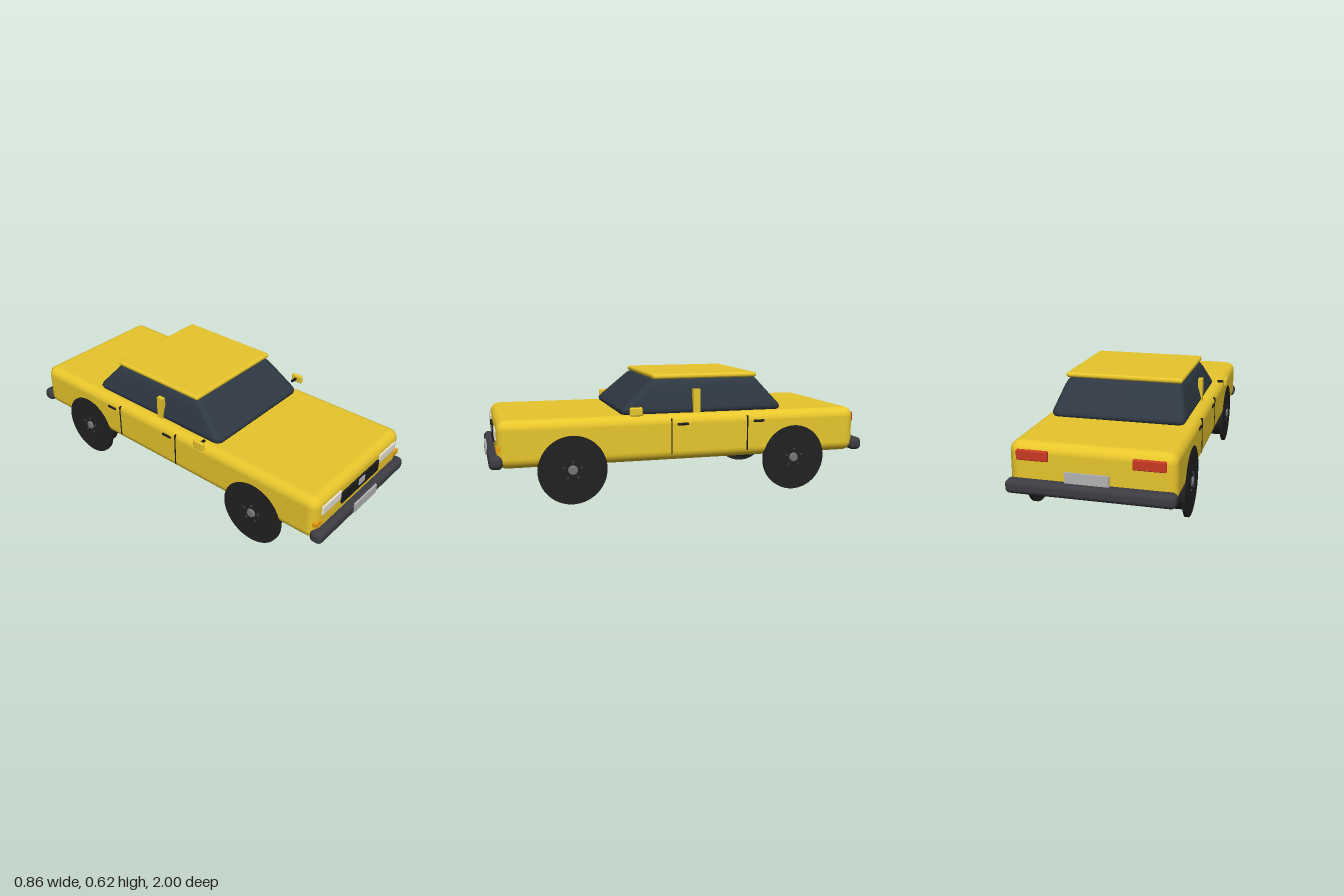
import * as THREE from 'three';
import { RoundedBoxGeometry } from 'three/addons/geometries/RoundedBoxGeometry.js';

const mat = (color) => new THREE.MeshStandardMaterial({ color });
const M = {
  paint: mat(0xe8c62c), glass: mat(0x2e3842), bumper: mat(0x3c3c42), rubber: mat(0x222222),
  black: mat(0x1c1c1c), metal: mat(0x777777), plate: mat(0xb4b4b4), lamp: mat(0xe6e2d4),
  amber: mat(0xf0a010), red: mat(0xcc3a24),
};

// Box from its min/max extents; r > 0 rounds the edges
function block(parent, name, material, [x0, x1], [y0, y1], [z0, z1], r = 0) {
  const s = [x1 - x0, y1 - y0, z1 - z0];
  const geo = r ? new RoundedBoxGeometry(...s, 4, r) : new THREE.BoxGeometry(...s);
  const mesh = new THREE.Mesh(geo, material);
  mesh.name = name;
  mesh.position.set((x0 + x1) / 2, (y0 + y1) / 2, (z0 + z1) / 2);
  parent.add(mesh);
  return mesh;
}

// The same box on both sides of the car
function pair(parent, name, material, [x0, x1], y, z, r) {
  block(parent, name + 'Left', material, [x0, x1], y, z, r);
  block(parent, name + 'Right', material, [-x1, -x0], y, z, r);
}

// Loft of rounded rectangles, each section: [y, halfWidth, frontZ, backZ, cornerRadius]
function cabinGeometry(sections) {
  const pos = [], index = [], seg = 6, n = 4 * (seg + 1);
  for (const [y, w, zf, zb, r] of sections) {
    const cz = (zf + zb) / 2, d = (zf - zb) / 2;
    for (let c = 0; c < 4; c++) {
      const sx = c === 0 || c === 3 ? 1 : -1, sz = c < 2 ? -1 : 1;
      for (let k = 0; k <= seg; k++) {
        const a = (c + k / seg) * Math.PI / 2;
        pos.push(sx * (w - r) + r * Math.cos(a), y, cz + sz * (d - r) - r * Math.sin(a));
      }
    }
  }
  for (let s = 0; s < sections.length - 1; s++) {
    for (let i = 0; i < n; i++) {
      const a = s * n + i, b = s * n + (i + 1) % n;
      index.push(a, b, b + n, a, b + n, a + n);
    }
  }
  const top = (sections.length - 1) * n;
  for (let i = 1; i < n - 1; i++) index.push(top, top + i, top + i + 1);
  const geo = new THREE.BufferGeometry();
  geo.setAttribute('position', new THREE.Float32BufferAttribute(pos, 3));
  geo.setIndex(index);
  geo.computeVertexNormals();
  return geo;
}

// Wheel whose outer face points to local +x
function makeWheel() {
  const wheel = new THREE.Group();
  const add = (name, geo, material, x, y = 0, z = 0) => {
    const m = new THREE.Mesh(geo, material);
    m.name = name;
    m.rotation.z = -Math.PI / 2;
    m.position.set(x, y, z);
    wheel.add(m);
  };
  // tyre profile with rounded shoulders
  const R = 0.138, r = 0.022, h = 0.045, pts = [new THREE.Vector2(0, -h)];
  for (const s of [-1, 1]) {
    for (let k = 0; k <= 5; k++) {
      const a = s * (s < 0 ? 1 - k / 5 : k / 5) * Math.PI / 2;
      pts.push(new THREE.Vector2(R - r + r * Math.cos(a), s * (h - r) + r * Math.sin(a)));
    }
  }
  pts.push(new THREE.Vector2(0, h));
  add('tyre', new THREE.LatheGeometry(pts, 48), M.rubber, 0.335);
  add('wheelDisc', new THREE.CylinderGeometry(0.172, 0.172, 0.016, 64), M.rubber, 0.383);
  add('hubCap', new THREE.CylinderGeometry(0.02, 0.025, 0.01, 24), M.metal, 0.395);
  for (let i = 0; i < 5; i++) {
    const a = Math.PI / 2 + i * Math.PI * 2 / 5;
    add('wheelBolt', new THREE.CylinderGeometry(0.006, 0.006, 0.008, 10), M.bumper,
      0.393, 0.045 * Math.sin(a), 0.045 * Math.cos(a));
  }
  return wheel;
}

export function createModel() {
  const car = new THREE.Group();
  car.name = 'sedan';

  // Body, glasshouse and roof
  block(car, 'body', M.paint, [-0.39, 0.39], [0.19, 0.427], [-0.945, 0.953], 0.05);
  const cabin = new THREE.Mesh(cabinGeometry([
    [0.415, 0.32, 0.315, -0.515, 0.03],
    [0.428, 0.333, 0.332, -0.53, 0.035],
    [0.442, 0.34, 0.336, -0.535, 0.04],
    [0.456, 0.337, 0.328, -0.528, 0.04],
    [0.56, 0.306, 0.21, -0.437, 0.04],
    [0.582, 0.296, 0.186, -0.419, 0.04],
    [0.594, 0.284, 0.172, -0.408, 0.035],
    [0.602, 0.265, 0.155, -0.39, 0.03],
  ]), M.glass);
  cabin.name = 'glasshouse';
  car.add(cabin);
  block(car, 'roof', M.paint, [-0.3, 0.3], [0.598, 0.624], [-0.405, 0.163], 0.012);
  pair(car, 'doorPillar', M.paint, [0.322, 0.345], [0.42, 0.548], [-0.078, -0.04]);

  // Mirrors
  pair(car, 'mirrorArm', M.black, [0.375, 0.415], [0.448, 0.459], [0.27, 0.281]);
  pair(car, 'mirrorHead', M.paint, [0.411, 0.432], [0.432, 0.476], [0.247, 0.312], 0.008);

  // Door seams and handles
  for (const z of [0.087, -0.322]) {
    pair(car, 'doorSeam', M.black, [0.38, 0.3925], [0.225, 0.407], [z - 0.003, z + 0.003]);
  }
  for (const z of [0.028, -0.386]) {
    pair(car, 'doorHandle', M.black, [0.385, 0.397], [0.371, 0.384], [z - 0.03, z + 0.03], 0.005);
  }

  // Bumpers and plain plates
  block(car, 'frontBumper', M.bumper, [-0.395, 0.395], [0.192, 0.259], [0.925, 0.993], 0.025);
  block(car, 'rearBumper', M.bumper, [-0.395, 0.395], [0.192, 0.259], [-0.993, -0.925], 0.025);
  block(car, 'frontPlate', M.plate, [-0.102, 0.102], [0.213, 0.263], [0.99, 1.0]);
  block(car, 'rearPlate', M.plate, [-0.102, 0.102], [0.275, 0.325], [-1.0, -0.99]);

  // Grille and lamps
  block(car, 'grille', M.black, [-0.171, 0.171], [0.291, 0.358], [0.94, 0.962], 0.004);
  block(car, 'grilleCentre', M.plate, [-0.026, 0.026], [0.317, 0.352], [0.955, 0.966]);
  pair(car, 'headlight', M.lamp, [0.176, 0.34], [0.324, 0.379], [0.935, 0.96], 0.008);
  pair(car, 'turnSignal', M.amber, [0.34, 0.383], [0.277, 0.303], [0.935, 0.957]);
  pair(car, 'tailLight', M.red, [0.195, 0.345], [0.347, 0.395], [-0.957, -0.935], 0.005);

  // Wheels
  for (const [end, z] of [['front', 0.592], ['rear', -0.587]]) {
    for (const [side, turn] of [['Left', 0], ['Right', Math.PI]]) {
      const wheel = makeWheel();
      wheel.name = end + 'Wheel' + side;
      wheel.position.set(0, 0.172, z);
      wheel.rotation.y = turn;
      car.add(wheel);
    }
  }
  return car;
}
